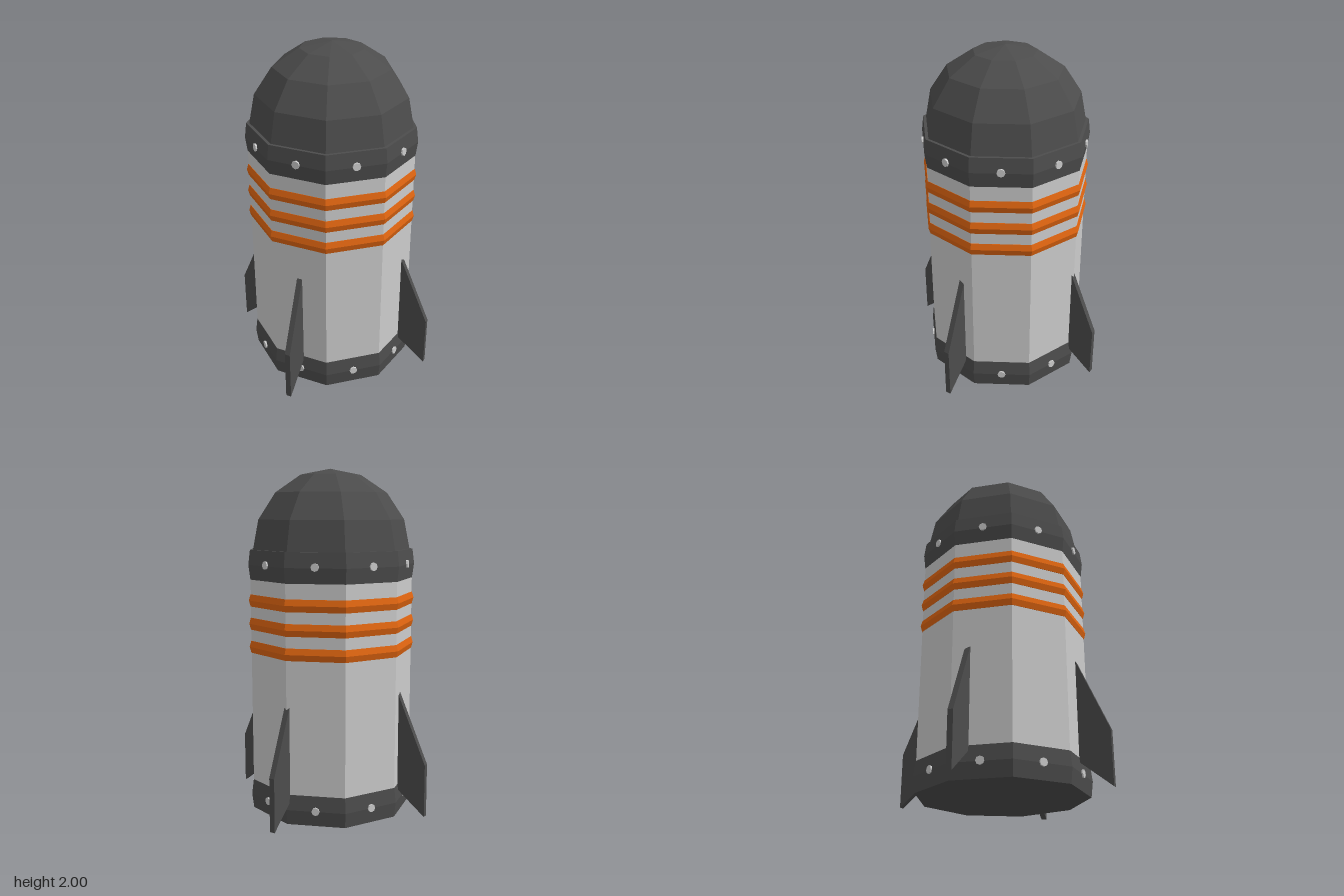
import * as THREE from 'three';

const SIDES = 9;
const mat = (color) => new THREE.MeshStandardMaterial({ color, flatShading: true });

export function createModel() {
  const model = new THREE.Group();
  const dark = mat(0x4c4c4c), grey = mat(0xcccccc), orange = mat(0xe06510);

  const add = (name, geometry, material, parent = model) => {
    const mesh = new THREE.Mesh(geometry, material);
    mesh.name = name;
    parent.add(mesh);
    return mesh;
  };

  // Nine-sided turned part: [radius, y] pairs from bottom to top, a corner facing the back
  const turned = (name, profile, material) => add(name, new THREE.LatheGeometry(
    profile.map(([r, y]) => new THREE.Vector2(r, y)), SIDES, Math.PI), material);

  // Hull
  turned('hull', [[0.485, 0.1], [0.485, 1.46]], grey);

  // Domed nose
  const dome = [];
  for (let i = 0; i <= 4; i++) {
    const a = i * Math.PI / 8;
    dome.push([i === 4 ? 0 : 0.47 * Math.cos(a), 1.53 + 0.47 * Math.sin(a)]);
  }
  turned('noseDome', dome, dark);

  // Bulging collars at base and nose, closed top and bottom
  const collar = (name, y0, y1) => turned(name,
    [[0, y0], [0.486, y0], [0.497, (y0 + y1) / 2], [0.486, y1], [0, y1]], dark);
  collar('baseCollar', 0, 0.175);
  collar('noseCollar', 1.37, 1.54);

  // Ridged stripes
  for (const y of [0.98, 1.115, 1.25]) {
    turned('stripe', [[0.48, y - 0.035], [0.487, y - 0.035], [0.497, y],
      [0.487, y + 0.035], [0.48, y + 0.035]], orange);
  }

  // Rivets, one at the middle of each collar face
  const rivetGeometry = new THREE.CylinderGeometry(0.023, 0.023, 0.03, 8).rotateX(Math.PI / 2);
  for (const y of [0.09, 1.46]) {
    for (let i = 0; i < SIDES; i++) {
      const a = i * 2 * Math.PI / SIDES;
      const rivet = add('rivet', rivetGeometry, grey);
      rivet.position.set(0.46 * Math.sin(a), y, 0.46 * Math.cos(a));
      rivet.rotation.y = a;
    }
  }

  // Four swept fins
  const outline = new THREE.Shape([[0.42, 0.18], [0.637, 0.005], [0.637, 0.315], [0.455, 0.735], [0.42, 0.735]]
    .map(([x, y]) => new THREE.Vector2(x, y)));
  const finGeometry = new THREE.ExtrudeGeometry(outline, { depth: 0.032, bevelEnabled: false })
    .translate(0, 0, -0.016);
  for (let i = 0; i < 4; i++) add('fin', finGeometry, dark).rotation.y = i * Math.PI / 2;

  return model;
}
